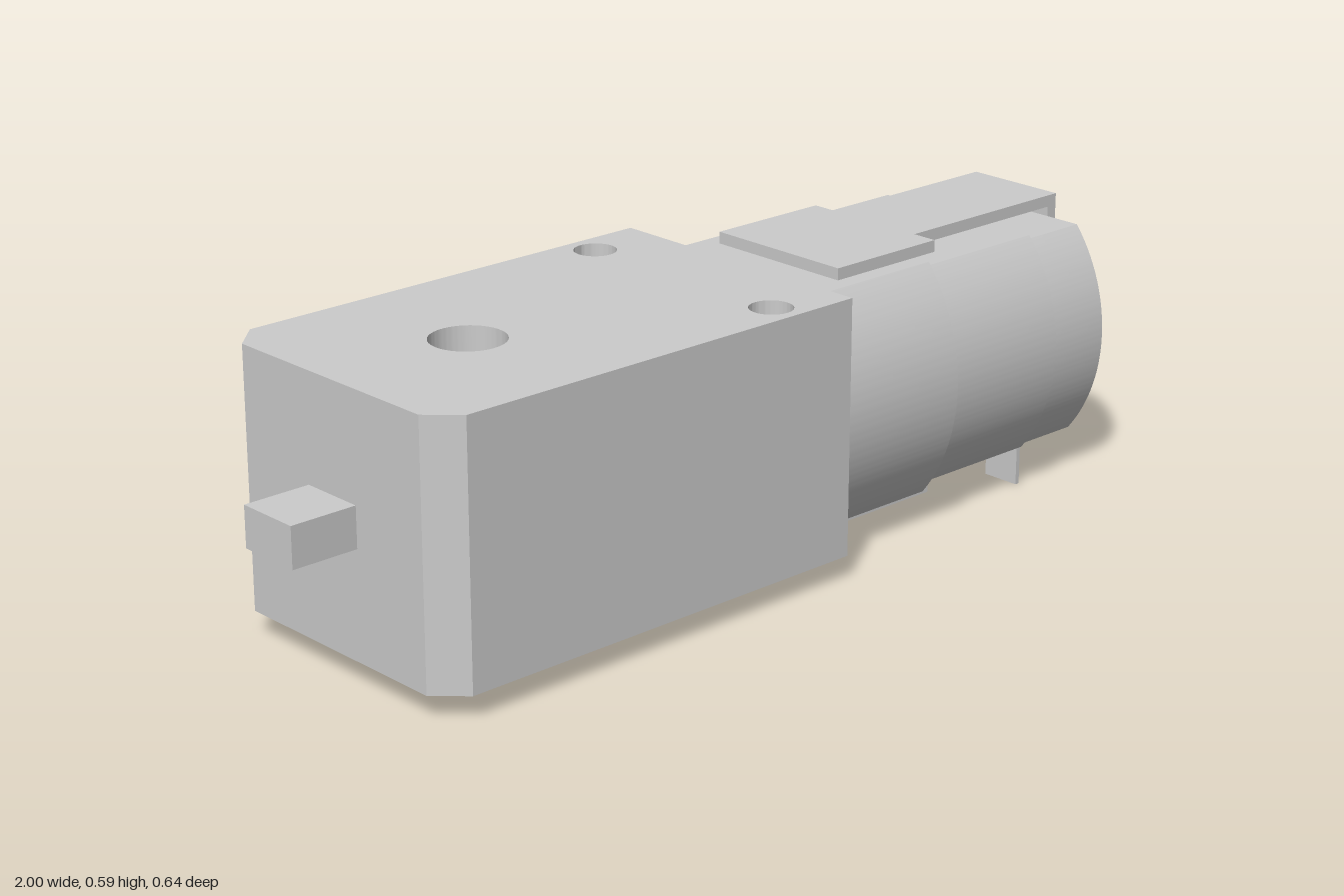
import * as THREE from 'three';
import { toCreasedNormals } from 'three/addons/utils/BufferGeometryUtils.js';

const material = new THREE.MeshStandardMaterial({ color: 0xcccccc });
const ZC = -0.003; // motor axis offset in z

function add(group, name, geometry) {
  const mesh = new THREE.Mesh(geometry, material);
  mesh.name = name;
  group.add(mesh);
}

// Box given by its min and max corners
function box(x0, x1, y0, y1, z0, z1) {
  return new THREE.BoxGeometry(x1 - x0, y1 - y0, z1 - z0)
    .translate((x0 + x1) / 2, (y0 + y1) / 2, (z0 + z1) / 2);
}

function extrude(shape, depth) {
  return new THREE.ExtrudeGeometry(shape, { depth, bevelEnabled: false, curveSegments: 40 });
}

// Plan outline (x, -z) raised from y0 to y1
function slab(shape, y0, y1) {
  return toCreasedNormals(extrude(shape, y1 - y0).rotateX(-Math.PI / 2).translate(0, y0, 0), 0.6);
}

// Motor section along x: flat top and bottom, bulging arcs at the sides
function motorSection(x0, x1, y0, y1, flat, half) {
  const h = (y1 - y0) / 2, sag = half - flat;
  const r = (h * h + sag * sag) / (2 * sag);
  const a = Math.asin(h / r), c = half - r, yc = (y0 + y1) / 2;
  const shape = new THREE.Shape();
  shape.absarc(c, yc, r, -a, a, false);
  shape.absarc(-c, yc, r, Math.PI - a, Math.PI + a, false);
  shape.closePath();
  const geometry = extrude(shape, x1 - x0).rotateY(Math.PI / 2).translate(x0, 0, ZC);
  return toCreasedNormals(geometry, 0.5);
}

export function createModel() {
  const model = new THREE.Group();
  model.name = 'gearMotor';

  // Gearbox with two chamfered corners and three through holes
  const plan = new THREE.Shape([
    [-0.795, -0.318], [0.165, -0.318], [0.165, 0.318],
    [-0.795, 0.318], [-0.855, 0.26], [-0.855, -0.26],
  ].map(([x, y]) => new THREE.Vector2(x, y)));
  for (const [x, z, r] of [[-0.53, 0, 0.076], [0.01, 0.253, 0.044], [0.01, -0.253, 0.044]]) {
    const hole = new THREE.Path();
    hole.absarc(x, z, r, 0, Math.PI * 2, true);
    plan.holes.push(hole);
  }
  add(model, 'gearbox', slab(plan, 0.053, 0.59));

  // Locating peg on the gearbox end
  add(model, 'peg', box(-1, -0.855, 0.28, 0.365, -0.07, 0.07));

  // Stepped motor can
  add(model, 'motorBody', motorSection(0.165, 0.503, 0.067, 0.565, 0.208, 0.297));
  add(model, 'motorSleeve', motorSection(0.503, 0.815, 0.084, 0.555, 0.203, 0.288));
  add(model, 'motorCap', motorSection(0.815, 0.973, 0.088, 0.545, 0.198, 0.28));

  // Retaining clip: T-shaped straps above and below, joined by an end plate
  const strap = new THREE.Shape([
    [0.28, -0.17], [0.56, -0.17], [0.56, -0.114], [0.975, -0.114],
    [0.975, 0.114], [0.56, 0.114], [0.56, 0.17], [0.28, 0.17],
  ].map(([x, y]) => new THREE.Vector2(x, y)));
  const clip = new THREE.Group();
  clip.name = 'clip';
  add(clip, 'topStrap', slab(strap, 0.565, 0.59).translate(0, 0, ZC));
  add(clip, 'bottomStrap', slab(strap, 0.04, 0.067).translate(0, 0, ZC));
  add(clip, 'endPlate', box(0.975, 1, 0.04, 0.59, ZC - 0.114, ZC + 0.114));
  model.add(clip);

  // Two flat electrical terminals under the motor
  for (const side of [1, -1]) {
    const z = ZC + side * 0.157;
    add(model, side > 0 ? 'frontTerminal' : 'backTerminal',
      box(0.805, 0.815, 0, 0.088, z - 0.043, z + 0.043));
  }
  return model;
}
